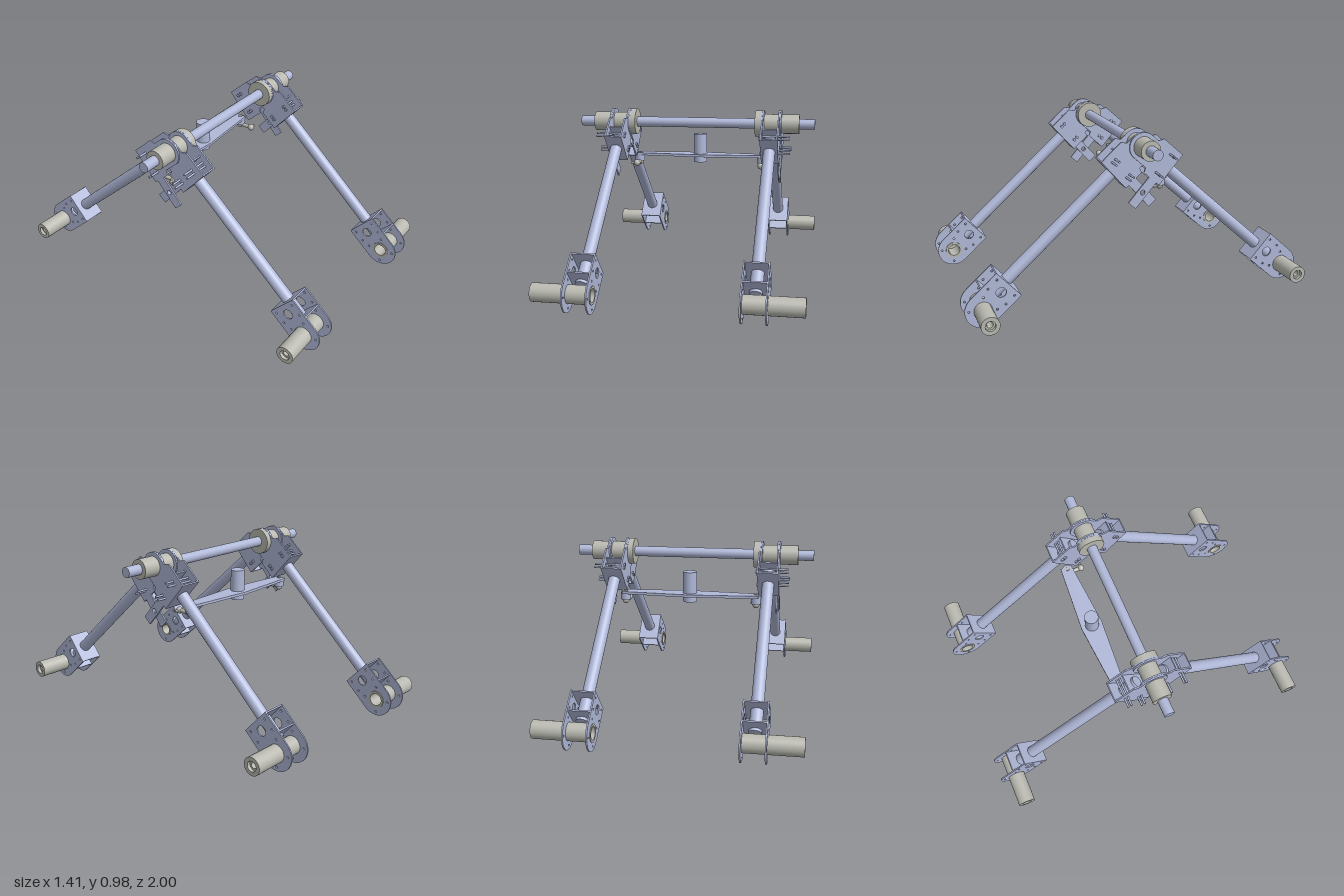
import * as THREE from 'three';

const steel = new THREE.MeshStandardMaterial({ color: 0xb0b8d8 });
const alloy = new THREE.MeshStandardMaterial({ color: 0xb9b9b1 });
const ANGLE = Math.atan2(0.8025, 0.9025);   // slope of every leg
const REACH = Math.hypot(0.8025, 0.9025);   // pivot to wheel axis
const PIVOT = 0.9, LEG_X = 0.452;

function add(parent, name, geo, mat, x = 0, y = 0, z = 0) {
  const m = new THREE.Mesh(geo, mat);
  m.name = name;
  m.position.set(x, y, z);
  parent.add(m);
  return m;
}

// cylinder along a chosen axis
function rod(r, len, axis, seg = 32) {
  const g = new THREE.CylinderGeometry(r, r, len, seg);
  if (axis === 'x') g.rotateZ(-Math.PI / 2);
  if (axis === 'z') g.rotateX(Math.PI / 2);
  return g;
}

// flat sheet with round holes [x, y, r]
function sheet(shape, holes, t) {
  for (const [x, y, r] of holes) {
    shape.holes.push(new THREE.Path().absarc(x, y, r, 0, Math.PI * 2, true));
  }
  const g = new THREE.ExtrudeGeometry(shape, { depth: t, bevelEnabled: false, curveSegments: 20 });
  return g.translate(0, 0, -t / 2);
}

// revolved solid with sharp steps: each profile segment is its own lathe
function turned(parent, name, pts, mat, dir) {
  const g = new THREE.Group();
  g.name = name;
  for (let i = 0; i < pts.length - 1; i++) {
    const seg = [pts[i], pts[i + 1]].map(p => new THREE.Vector2(p[0], p[1]));
    add(g, name + 'Surface', new THREE.LatheGeometry(seg, 36), mat);
  }
  g.rotation.x = dir * Math.PI / 2;
  parent.add(g);
  return g;
}

// wheel bracket cheek: square end at the tube, round end at the wheel axis
function footCheek() {
  const w = 0.0975;
  const s = new THREE.Shape();
  s.moveTo(1.015, -w);
  s.lineTo(REACH, -w);
  s.absarc(REACH, 0, w, -Math.PI / 2, Math.PI / 2, false);
  s.lineTo(1.015, w);
  s.closePath();
  const holes = [[REACH, 0, 0.049], [1.074, 0, 0.028]];
  for (let i = 0; i < 4; i++) {
    const a = Math.PI / 4 + i * Math.PI / 2;
    holes.push([REACH + 0.075 * Math.cos(a), 0.075 * Math.sin(a), 0.006]);
  }
  for (const x of [1.04, 1.105]) for (const y of [-0.068, 0.068]) holes.push([x, y, 0.006]);
  return sheet(s, holes, 0.008);
}

// shoulder cheek: round about the shaft, optionally with a lower tab
function shoulderCheek(tab) {
  const s = new THREE.Shape();
  s.moveTo(0.07, -0.106);
  s.lineTo(0.22, -0.106);
  s.lineTo(0.22, 0.105);
  if (tab) {
    s.lineTo(0.198, 0.105);
    s.lineTo(0.198, 0.285);
    s.lineTo(0.142, 0.285);
    s.lineTo(0.142, 0.105);
  }
  s.lineTo(0.1, 0.105);
  s.lineTo(0.09, 0.078);
  s.lineTo(0, 0.078);
  s.absarc(0, 0, 0.078, Math.PI / 2, Math.PI * 1.5, false);
  s.lineTo(0.05, -0.078);
  s.closePath();
  const holes = [[0, 0, 0.05]];
  if (tab) holes.push([0.17, 0.192, 0.014]);
  return sheet(s, holes, 0.009);
}

// One leg, drawn with local x running down the tube and local y to its underside
function leg(side, front) {
  const g = new THREE.Group();
  g.name = (front ? 'front' : 'rear') + (side > 0 ? 'Left' : 'Right') + 'Leg';
  const f = front ? 1 : -1, c = Math.cos(ANGLE), s = Math.sin(ANGLE);
  const out = side * f; // local z that points away from the centre
  const ax = new THREE.Vector3(0, -s, f * c), ay = new THREE.Vector3(0, -c, -f * s);
  g.quaternion.setFromRotationMatrix(new THREE.Matrix4().makeBasis(ax, ay, new THREE.Vector3(f, 0, 0)));
  g.position.set(side * LEG_X, PIVOT, 0);

  add(g, 'legTube', rod(0.034, 1.05, 'x'), steel, 0.625);

  // wheel bracket
  for (const z of [-0.064, 0.064]) add(g, 'footCheek', footCheek(), steel, 0, 0, z);
  for (const x of [1.019, 1.131]) add(g, 'footWeb', new THREE.BoxGeometry(0.008, 0.19, 0.124), steel, x);

  // hollow wheel motor with recessed ends
  turned(g, 'wheelMotor', [[0.036, -0.072], [0.05, -0.072], [0.05, 0.253], [0.028, 0.253],
    [0.028, 0.235], [0.017, 0.235], [0.017, 0.05], [0.036, 0.05], [0.036, -0.072]]
    , alloy, out).position.x = REACH;

  // shoulder bracket; front cheeks nest inside the rear ones
  const off = front ? 0.046 : 0.056;
  add(g, 'outerShoulderCheek', shoulderCheek(true), steel, 0, 0, out * off);
  add(g, 'innerShoulderCheek', shoulderCheek(false), steel, 0, 0, -out * off);
  for (const x of [0.12, 0.216]) add(g, 'shoulderWeb', new THREE.BoxGeometry(0.008, 0.19 + (x > 0.2 ? 0.02 : -0.03), off * 2), steel, x);

  // paired bolts
  for (const y of [-0.062, 0.062]) for (const x of [0.155, 0.178]) {
    add(g, 'bracketBolt', rod(0.006, 0.175, 'z', 12), steel, x, y, out * 0.027);
    add(g, 'boltHead', rod(0.01, 0.01, 'z', 6), steel, x, y, -out * (off + 0.009));
  }
  return g;
}

export function createModel() {
  const model = new THREE.Group();
  model.name = 'rockerChassis';

  add(model, 'mainShaft', rod(0.03, 1.41, 'x'), steel, 0, PIVOT, 0);

  for (const side of [1, -1]) {
    model.add(leg(side, true), leg(side, false));

    // shaft hub
    add(model, 'hubSleeve', rod(0.056, 0.235, 'x', 40), alloy, side * 0.4975, PIVOT, 0);
    add(model, 'hubFlange', rod(0.077, 0.034, 'x', 40), alloy, side * 0.375, PIVOT, 0);

    // ball-jointed link from the balance bar to the shoulder tab
    const link = new THREE.Group();
    link.name = 'balanceLink';
    link.position.set(side * 0.385, 0.635, 0);
    add(link, 'linkStud', rod(0.012, 0.07, 'y', 16), alloy, 0, 0.025, -0.155);
    add(link, 'studHousing', rod(0.03, 0.045, 'y', 24), steel, 0, 0.027, -0.155);
    add(link, 'rearBall', new THREE.SphereGeometry(0.02, 20, 14), alloy, 0, -0.002, -0.155);
    add(link, 'linkRod', rod(0.012, 0.1, 'z', 16), alloy, 0, 0, -0.105);
    add(link, 'frontBall', new THREE.SphereGeometry(0.02, 20, 14), alloy, 0, 0, -0.07);
    add(link, 'linkPin', rod(0.007, 0.05, 'x', 12), alloy, side * 0.012, 0, -0.07);
    model.add(link);
  }

  // balance bar, widest in the middle, with a central post
  const bar = new THREE.Shape();
  [[-0.4, 0.125], [0, 0.096], [0.4, 0.125], [0.4, 0.192], [0, 0.222], [-0.4, 0.192]]
    .forEach(([x, y], i) => (i ? bar.lineTo(x, y) : bar.moveTo(x, y)));
  bar.closePath();
  const barGeo = sheet(bar, [], 0.015).rotateX(-Math.PI / 2);
  add(model, 'balanceBar', barGeo, steel, 0, 0.683, 0);
  add(model, 'balancePost', rod(0.04, 0.175, 'y'), steel, 0, 0.7275, -0.157);

  return model;
}
